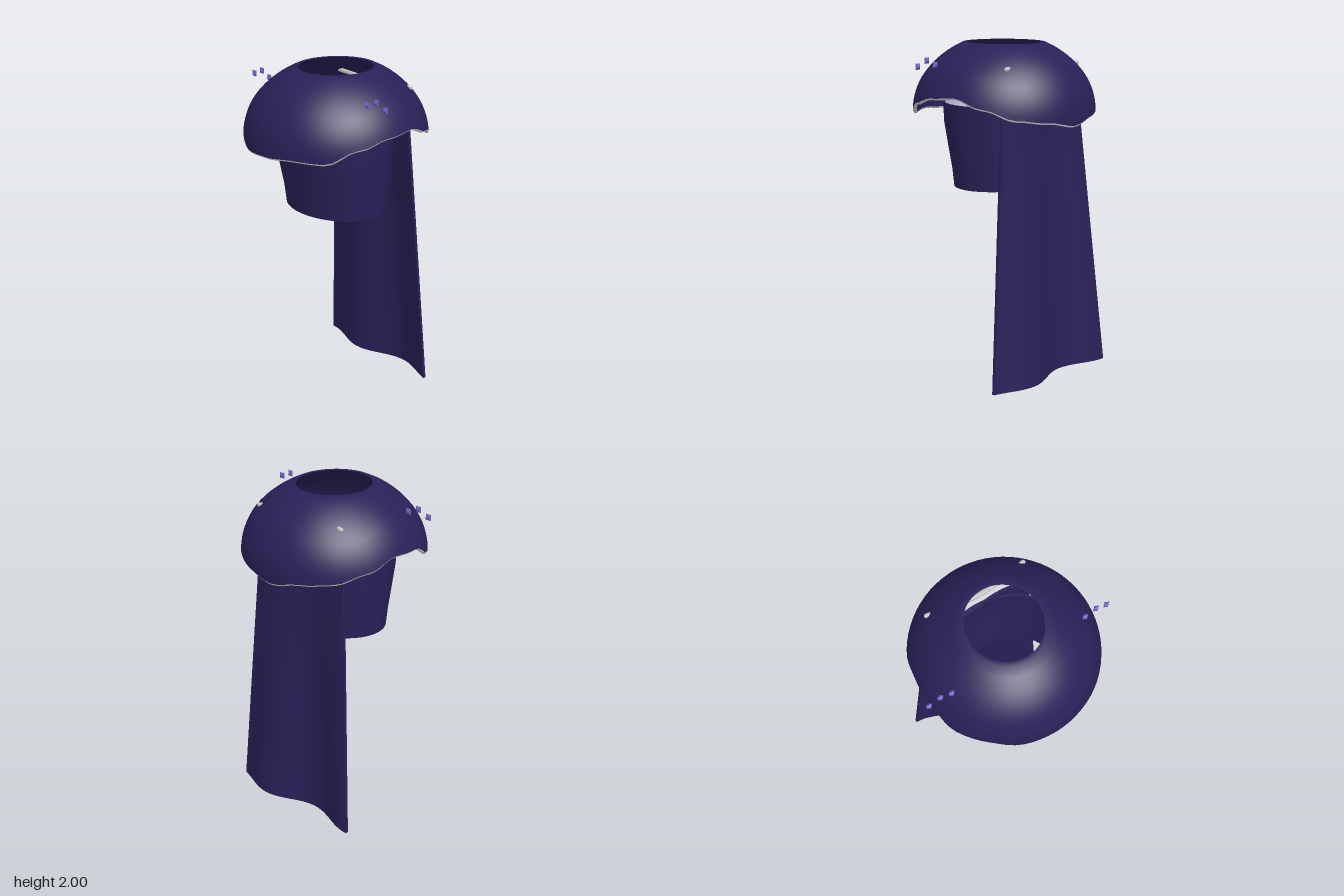
import * as THREE from 'three';
import { toCreasedNormals } from 'three/addons/utils/BufferGeometryUtils.js';

const cloth = new THREE.MeshStandardMaterial({ color: 0x2a2058 });
const gemPurple = new THREE.MeshStandardMaterial({ color: 0x6f5fc0 });
const lavender = new THREE.MeshStandardMaterial({ color: 0xd0d4f0 });
const grey = new THREE.MeshStandardMaterial({ color: 0xcccccc });

function add(parent, name, geometry, material) {
  const mesh = new THREE.Mesh(geometry, material);
  mesh.name = name;
  parent.add(mesh);
  return mesh;
}

// Surface swept around y: point(angle, row) for rows running down the outside (and back up inside)
function sweep(point, rows, sides = 72) {
  const pos = [], index = [];
  for (let j = 0; j < rows; j++)
    for (let i = 0; i < sides; i++) pos.push(...point((i / sides) * Math.PI * 2, j));
  for (let j = 0; j < rows - 1; j++)
    for (let i = 0; i < sides; i++) {
      const a = j * sides + i, b = j * sides + ((i + 1) % sides);
      index.push(a, a + sides, b, b, a + sides, b + sides);
    }
  const g = new THREE.BufferGeometry();
  g.setAttribute('position', new THREE.Float32BufferAttribute(pos, 3));
  g.setIndex(index);
  return toCreasedNormals(g, 0.7);
}

// Hem height every 20 degrees, from the front round by +x
const hemHeights = [1.57, 1.585, 1.58, 1.655, 1.7, 1.715, 1.66, 1.6, 1.58,
  1.55, 1.585, 1.6, 1.65, 1.71, 1.7, 1.615, 1.615, 1.56];
function hemY(angle) {
  const n = hemHeights.length, t = (angle / (Math.PI * 2)) * n;
  const i = Math.floor(t), f = THREE.MathUtils.smoothstep(t - i, 0, 1);
  return THREE.MathUtils.lerp(hemHeights[i % n], hemHeights[(i + 1) % n], f);
}

// Point on the domed mantle: s = 0 at the neck opening, 1 at the hem
function mantlePoint(angle, s, inset = 0) {
  const y = THREE.MathUtils.lerp(2, hemY(angle), s);
  const r = 0.548 * Math.sqrt(1 - ((y - 1.59) / 0.461) ** 2) - inset;
  const squeeze = THREE.MathUtils.lerp(0.95, 1, Math.min(1, s * 2));
  return [r * squeeze * Math.sin(angle), y, r * Math.cos(angle)];
}

function buildMantle(group) {
  const steps = 16;
  add(group, 'mantle', sweep((a, j) => {
    if (j <= steps) return mantlePoint(a, j / steps);
    if (j === 2 * steps + 2) return mantlePoint(a, 0);
    return mantlePoint(a, (2 * steps + 1 - j) / steps, 0.025);
  }, 2 * steps + 3), cloth);

  // Pale edging along the wavy hem
  const points = [];
  for (let i = 0; i < 72; i++)
    points.push(new THREE.Vector3(...mantlePoint((i / 72) * Math.PI * 2, 1, 0.013)));
  const curve = new THREE.CatmullRomCurve3(points, true);
  add(group, 'hemEdging', new THREE.TubeGeometry(curve, 144, 0.011, 6, true), grey);
}

// Rings are [y, half width, front depth, back depth]
function ovalSweep(rings) {
  return sweep((a, j) => {
    const [y, w, front, back] = rings[j];
    const c = Math.cos(a);
    return [w * Math.sin(a), y, c * (c > 0 ? front : back)];
  }, rings.length);
}

function buildTunic(group) {
  const outer = [
    [1.65, 0.378, 0.355, 0.312], [1.53, 0.37, 0.352, 0.305], [1.4, 0.36, 0.318, 0.29],
    [1.26, 0.347, 0.282, 0.275], [1.15, 0.338, 0.266, 0.265],
  ];
  const inner = outer.map(([y, w, f, b]) => [y, w - 0.015, f - 0.015, b - 0.015]).reverse();
  add(group, 'tunic', ovalSweep([...outer, ...inner, outer[0]]), cloth);
  // Pale collar above the tunic, facing outward
  add(group, 'underCollar', ovalSweep([
    [1.76, 0.335, 0.31, 0.27], [1.645, 0.368, 0.345, 0.3],
  ]), lavender);
}

// Cape: a thin slab that widens and ripples towards its lower edge
function buildCape(group) {
  const g = new THREE.BoxGeometry(1, 1, 1, 40, 24, 1);
  const p = g.attributes.position;
  for (let i = 0; i < p.count; i++) {
    const drop = 0.5 - p.getY(i);
    const x = p.getX(i);
    const ripple = Math.cos((2 * Math.PI * (x * 0.926 + 0.13)) / 0.66);
    const z = THREE.MathUtils.lerp(-0.288, -0.375, drop)
      + THREE.MathUtils.lerp(0.01, 0.045, drop) * ripple + p.getZ(i) * 0.018;
    p.setXYZ(i, x * 2 * THREE.MathUtils.lerp(0.325, 0.463, drop), 1.67 * (1 - drop), z);
  }
  add(group, 'cape', toCreasedNormals(g, 0.7), cloth);
}

// Three floating studs over each shoulder
function buildStuds(group) {
  const g = new THREE.OctahedronGeometry(1);
  g.rotateZ(Math.PI / 4);
  g.scale(0.025, 0.025, 0.016);
  const faceted = toCreasedNormals(g, 0.1);
  for (const side of [-1, 1])
    for (const [x, y] of [[0.42, 1.88], [0.488, 1.91], [0.558, 1.88]])
      add(group, 'shoulderStud', faceted, gemPurple).position.set(side * x, y, 0.155);
}

// Bowed bar through the back of the mantle, its ends just poking out
function buildBar(group) {
  const curve = new THREE.CatmullRomCurve3([
    new THREE.Vector3(-0.31, 1.875, -0.302), new THREE.Vector3(-0.16, 1.88, -0.272),
    new THREE.Vector3(0, 1.88, -0.258),
    new THREE.Vector3(0.16, 1.88, -0.272), new THREE.Vector3(0.31, 1.875, -0.302),
  ]);
  add(group, 'backBar', new THREE.TubeGeometry(curve, 24, 0.014, 6), grey);
  for (const end of [0, 1]) {
    const cap = add(group, 'barEnd', new THREE.SphereGeometry(0.014, 6, 4), grey);
    cap.position.copy(curve.getPoint(end));
  }
}

export function createModel() {
  const group = new THREE.Group();
  group.name = 'hoodedCape';
  buildMantle(group);
  buildTunic(group);
  buildCape(group);
  buildStuds(group);
  buildBar(group);
  // Centre the depth between the front and back of the mantle
  group.position.set(0, 0, 0);
  return group;
}
